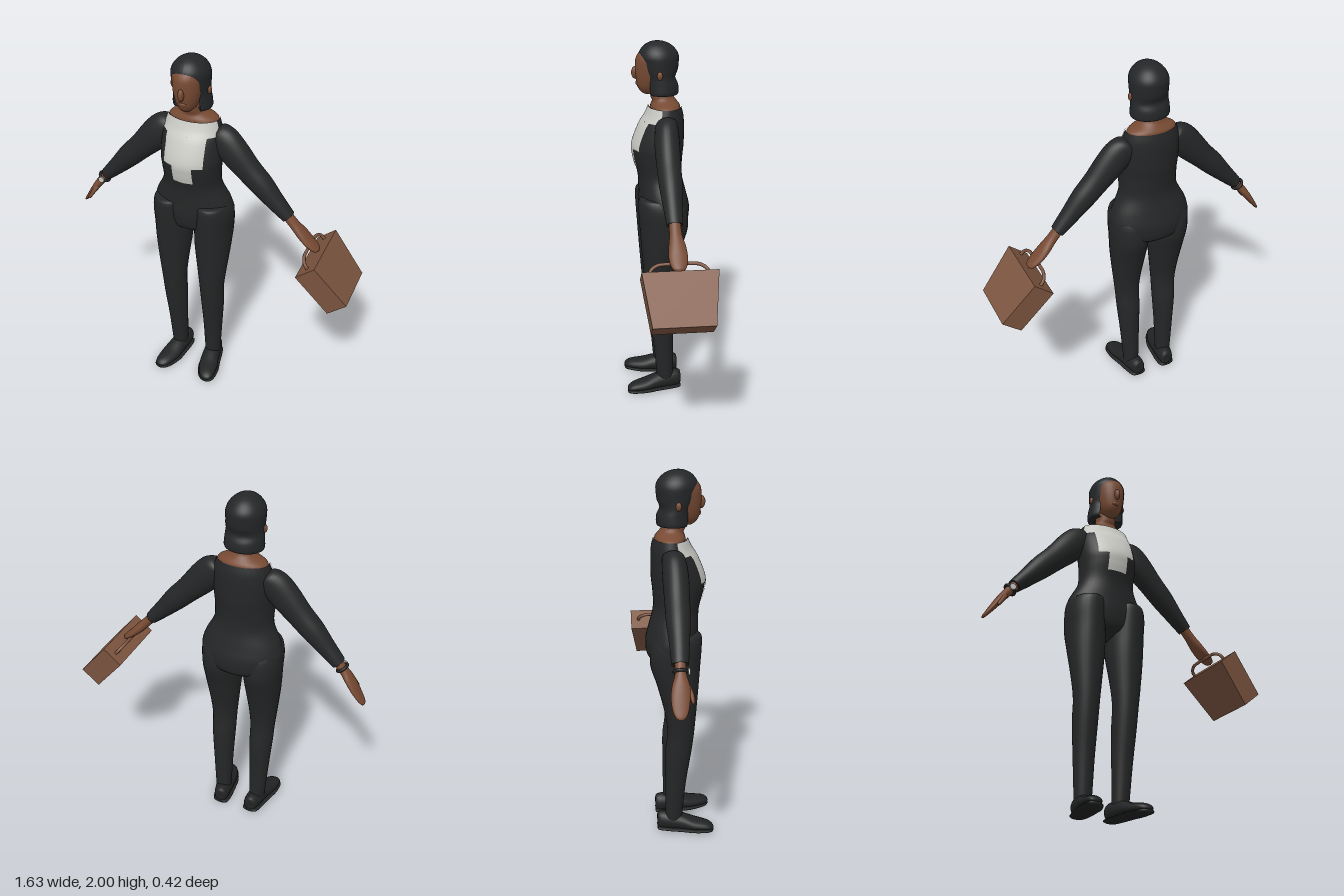
import * as THREE from 'three';

const mat = (name, color, side = THREE.FrontSide) => {
  const m = new THREE.MeshStandardMaterial({ color, side });
  m.name = name;
  return m;
};

// Smoothly fills in the cross-sections [x, y, z, ru, rv, (startAngle, endAngle)]
function dense(s, k = 4) {
  const out = [];
  const at = (i) => s[Math.min(Math.max(i, 0), s.length - 1)];
  for (let i = 0; i < s.length - 1; i++) {
    for (let j = 0; j < k; j++) {
      const t = j / k;
      out.push(s[i].map((b, c) => {
        const a = at(i - 1)[c], d = at(i + 1)[c], e = at(i + 2)[c];
        const v = b + 0.5 * t * (d - a + t * (2 * a - 5 * b + 4 * d - e + t * (3 * (b - d) + e - a)));
        return c === 3 || c === 4 ? Math.max(v, 0) : v;
      }));
    }
  }
  out.push(s[s.length - 1]);
  return out;
}

// Skins elliptical rows; t is the direction of travel, u the first radius axis
function skin(rows, t = [0, 1, 0], u = [0, 0, 1], n = 28) {
  const U = new THREE.Vector3(...u);
  const V = new THREE.Vector3(...t).normalize().cross(U);
  const closed = rows[0].length < 7;
  const w = closed ? n : n + 1;
  const pos = [], idx = [];
  for (const [x, y, z, ru, rv, a0 = 0, a1 = Math.PI * 2] of rows) {
    for (let j = 0; j < w; j++) {
      const a = a0 + (a1 - a0) * j / n;
      const p = new THREE.Vector3(x, y, z).addScaledVector(U, ru * Math.cos(a)).addScaledVector(V, rv * Math.sin(a));
      pos.push(p.x, p.y, p.z);
    }
  }
  for (let i = 0; i < rows.length - 1; i++) {
    for (let j = 0; j < n; j++) {
      const a = i * w + j, b = i * w + (j + 1) % w;
      idx.push(a, b, b + w, a, b + w, a + w);
    }
  }
  const g = new THREE.BufferGeometry();
  g.setAttribute('position', new THREE.Float32BufferAttribute(pos, 3));
  g.setIndex(idx);
  g.computeVertexNormals();
  return g;
}

export function createModel() {
  const suit = mat('black suit', 0x252627);
  const hairMat = mat('black hair', 0x242628, THREE.DoubleSide);
  const shoeMat = mat('black shoe', 0x222324);
  const skinMat = mat('brown skin', 0x774a33);
  const shirtMat = mat('pale shirt', 0xc9c9c4);
  const leather = mat('brown leather', 0x7e5641);

  const model = new THREE.Group();
  model.name = 'womanWithBriefcase';
  const body = new THREE.Group();
  body.name = 'body';
  body.position.x = -0.114;
  model.add(body);
  const add = (name, geo, m, parent = body) => {
    const mesh = new THREE.Mesh(geo, m);
    mesh.name = name;
    parent.add(mesh);
    return mesh;
  };

  // Jacket, from [y, back z, front z, half width]
  const torso = [
    [0.96, -0.02, 0.02, 0], [0.985, -0.08, 0.06, 0.08], [1.02, -0.145, 0.105, 0.19],
    [1.1, -0.156, 0.122, 0.226], [1.18, -0.138, 0.122, 0.212], [1.28, -0.115, 0.126, 0.164],
    [1.38, -0.118, 0.15, 0.163], [1.45, -0.125, 0.155, 0.168], [1.55, -0.126, 0.118, 0.165],
    [1.61, -0.122, 0.082, 0.152], [1.655, -0.11, 0.062, 0.138],
  ].map(([y, b, f, w]) => [0, y, (b + f) / 2, (f - b) / 2, w]);
  add('jacket', skin(dense(torso, 5), undefined, undefined, 40), suit);

  // Shirt front: stepped patches following the chest
  for (const [lo, hi, half] of [[1.58, 1.66, 0.143], [1.43, 1.584, 0.108], [1.33, 1.436, 0.055]]) {
    const rows = dense(torso, 16).filter((r) => r[1] >= lo && r[1] <= hi).map(([x, y, z, ru, rv]) => {
      const a = Math.asin(Math.min(half / rv, 0.96));
      return [x, y, z, ru + 0.004, rv + 0.004, -a, a];
    });
    add('shirtFront', skin(rows), shirtMat);
  }

  // Neck and head
  add('neck', skin(dense([
    [0, 1.635, -0.025, 0.082, 0.138], [0, 1.66, -0.025, 0.078, 0.128], [0, 1.685, -0.02, 0.065, 0.075],
    [0, 1.71, -0.008, 0.062, 0.057], [0, 1.77, 0, 0.06, 0.055],
  ])), skinMat);
  add('head', skin(dense([
    [0, 1.72, 0.07, 0, 0], [0, 1.725, 0.068, 0.025, 0.025], [0, 1.755, 0.055, 0.065, 0.052],
    [0, 1.8, 0.045, 0.086, 0.07], [0, 1.86, 0.04, 0.095, 0.08], [0, 1.92, 0.035, 0.092, 0.08],
    [0, 1.965, 0.02, 0.06, 0.055], [0, 1.98, 0.01, 0, 0],
  ])), skinMat);
  const nose = add('nose', new THREE.SphereGeometry(1, 16, 12), skinMat);
  nose.scale.set(0.016, 0.034, 0.022);
  nose.position.set(0, 1.835, 0.133);
  const mouth = add('mouth', new THREE.SphereGeometry(1, 16, 12), skinMat);
  mouth.scale.set(0.026, 0.016, 0.016);
  mouth.position.set(0, 1.78, 0.117);

  // Bobbed hair, open around the face
  add('hair', skin(dense([
    [1.73, -0.008, 0.05, 0.06, 0.8], [1.722, -0.008, 0.085, 0.102, 0.75], [1.77, -0.006, 0.088, 0.103, 0.7],
    [1.81, 0.002, 0.08, 0.1, 0.75], [1.85, 0.006, 0.098, 0.1, 0.82], [1.895, 0.008, 0.105, 0.102, 0.55],
    [1.922, 0.01, 0.107, 0.1, 0], [1.95, 0.012, 0.096, 0.088, 0], [1.978, 0.014, 0.07, 0.062, 0],
    [1.995, 0.016, 0.035, 0.03, 0], [2, 0.018, 0, 0, 0],
  ].map(([y, z, ru, rv, gap]) => [0, y, z, ru, rv, gap, Math.PI * 2 - gap])), undefined, undefined, 36), hairMat);

  for (const s of [1, -1]) {
    const side = s > 0 ? 'left' : 'right';
    const flip = (rows) => rows.map(([x, ...r]) => [x * s, ...r]);

    const ear = add(side + 'Ear', new THREE.SphereGeometry(1, 12, 10), skinMat);
    ear.scale.set(0.012, 0.022, 0.015);
    ear.position.set(0.1 * s, 1.83, 0.012);

    // Trouser leg
    add(side + 'TrouserLeg', skin(dense(flip([
      [0.108, 0.06, -0.012, 0.042, 0.042], [0.108, 0.1, -0.012, 0.047, 0.046], [0.112, 0.3, -0.003, 0.057, 0.056],
      [0.115, 0.48, 0.01, 0.071, 0.066], [0.116, 0.6, 0.024, 0.072, 0.07], [0.117, 0.72, 0.022, 0.084, 0.082],
      [0.117, 0.88, 0.008, 0.11, 0.1], [0.118, 1.0, -0.006, 0.132, 0.106], [0.12, 1.1, 0, 0.132, 0.107],
      [0.118, 1.16, 0.014, 0.116, 0.094], [0.116, 1.175, 0.02, 0.085, 0.07], [0.114, 1.178, 0.02, 0, 0],
    ]))), suit);

    // Shoe and sole
    const shoe = flip([
      [0.095, 0.055, -0.102, 0, 0], [0.095, 0.055, -0.1, 0.044, 0.034], [0.1, 0.055, -0.05, 0.052, 0.047],
      [0.112, 0.05, 0.03, 0.045, 0.052], [0.125, 0.038, 0.1, 0.033, 0.056], [0.14, 0.032, 0.17, 0.024, 0.044],
      [0.146, 0.026, 0.2, 0.013, 0.025], [0.147, 0.025, 0.207, 0, 0],
    ]);
    add(side + 'Shoe', skin(dense(shoe), [0, 0, 1], [0, 1, 0], 24), shoeMat);
    const sole = shoe.map(([x, , z, ru, rv]) => [x, 0.011, z, ru ? 0.011 : 0, rv * 1.15]);
    add(side + 'Sole', skin(dense(sole), [0, 0, 1], [0, 1, 0], 24), shoeMat);

    // Sleeve
    const t = [0.687 * s, -0.726, 0];
    add(side + 'Sleeve', skin(dense(flip([
      [0.115, 1.605, -0.02, 0, 0], [0.13, 1.59, -0.02, 0.05, 0.055], [0.17, 1.55, -0.015, 0.063, 0.082],
      [0.23, 1.485, -0.012, 0.066, 0.083], [0.31, 1.4, -0.012, 0.063, 0.07], [0.385, 1.325, -0.013, 0.06, 0.064],
      [0.46, 1.245, -0.014, 0.05, 0.05], [0.53, 1.173, -0.016, 0.042, 0.037], [0.534, 1.169, -0.016, 0.038, 0.033],
      [0.53, 1.173, -0.016, 0, 0],
    ])), t), suit);
  }

  // Open right hand with thumb, bracelet and watch
  add('rightHand', skin(dense([
    [-0.52, 1.185, -0.016, 0.027, 0.026], [-0.565, 1.13, -0.016, 0.028, 0.024], [-0.6, 1.085, -0.018, 0.043, 0.022],
    [-0.635, 1.035, -0.022, 0.046, 0.018], [-0.67, 0.985, -0.024, 0.038, 0.012], [-0.69, 0.957, -0.024, 0.022, 0.008],
    [-0.696, 0.948, -0.024, 0, 0],
  ]), [-0.59, -0.81, 0]), skinMat);
  add('rightThumb', skin(dense([
    [-0.59, 1.09, 0.01, 0.012, 0.014], [-0.61, 1.055, 0.028, 0.013, 0.012],
    [-0.635, 1.015, 0.038, 0.009, 0.009], [-0.64, 1.005, 0.04, 0, 0],
  ]), [-0.59, -0.81, 0], undefined, 14), skinMat);
  const band = add('bracelet', new THREE.TorusGeometry(0.031, 0.008, 10, 28), shoeMat);
  band.position.set(-0.558, 1.14, -0.016);
  band.quaternion.setFromUnitVectors(new THREE.Vector3(0, 0, 1), new THREE.Vector3(-0.63, -0.777, 0));
  const watch = add('watchFace', new THREE.CylinderGeometry(0.017, 0.017, 0.009, 20), shirtMat);
  watch.rotation.x = Math.PI / 2;
  watch.position.set(-0.558, 1.14, 0.024);

  // Left hand reaching to the handle
  add('leftHand', skin(dense([
    [0.52, 1.185, -0.016, 0.03, 0.027], [0.57, 1.128, -0.017, 0.032, 0.026], [0.615, 1.08, -0.02, 0.044, 0.026],
    [0.655, 1.04, -0.02, 0.048, 0.022], [0.69, 1.01, -0.02, 0.04, 0.018], [0.708, 0.995, -0.02, 0.025, 0.013],
    [0.714, 0.99, -0.02, 0, 0],
  ]), [0.7, -0.714, 0]), skinMat);

  // Briefcase, narrower towards its base
  const briefcase = new THREE.Group();
  briefcase.name = 'briefcase';
  briefcase.position.set(0.675, 0.8625, -0.02);
  briefcase.rotation.z = 0.694;
  model.add(briefcase);
  const caseGeo = new THREE.BoxGeometry(0.128, 0.28, 0.38);
  const p = caseGeo.attributes.position;
  for (let i = 0; i < p.count; i++) if (p.getY(i) < 0) p.setZ(i, p.getZ(i) * 0.81);
  caseGeo.computeVertexNormals();
  add('caseBody', caseGeo, leather, briefcase);
  const path = new THREE.CatmullRomCurve3([
    [0.135, -0.145], [0.165, -0.14], [0.19, -0.105], [0.195, -0.05], [0.195, 0.05], [0.19, 0.105], [0.165, 0.14], [0.135, 0.145],
  ].map(([y, z]) => new THREE.Vector3(0, y, z)));
  add('caseHandle', new THREE.TubeGeometry(path, 40, 0.009, 10), leather, briefcase);

  return model;
}
